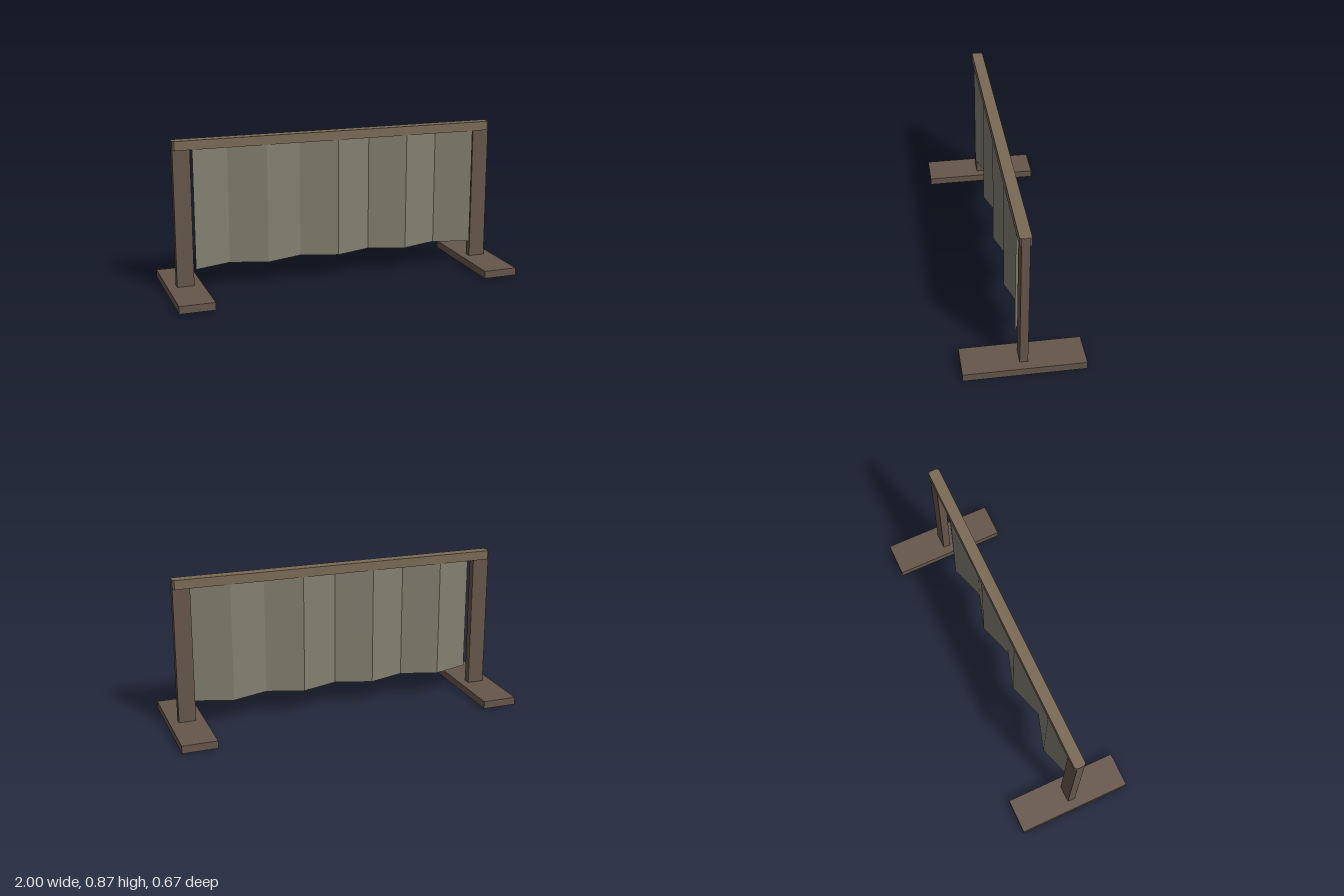
import * as THREE from 'three';

const wood = new THREE.MeshStandardMaterial({ color: 0x66564a, flatShading: true });
const railWood = new THREE.MeshStandardMaterial({ color: 0x7a6a56, flatShading: true });
const cloth = new THREE.MeshStandardMaterial({ color: 0x828070, flatShading: true, side: THREE.DoubleSide });

function box(name, w, h, d, x, yBottom) {
  const mesh = new THREE.Mesh(new THREE.BoxGeometry(w, h, d), wood);
  mesh.name = name;
  mesh.position.set(x, yBottom + h / 2, 0);
  return mesh;
}

export function createModel() {
  const model = new THREE.Group();
  model.name = 'foldedScreenPartition';

  // Feet and upright posts, mirrored left and right
  for (const [side, s] of [['left', 1], ['right', -1]]) {
    model.add(box(side + 'Foot', 0.2, 0.044, 0.666, s * 0.9, 0));
    model.add(box(side + 'Post', 0.097, 0.826, 0.045, s * 0.8985, 0.044));
  }

  // Top rail with chamfered vertical corners, extruded upward
  const L = 0.946, D = 0.032, c = 0.01;
  const outline = new THREE.Shape([
    [L - c, -D], [L, -D + c], [L, D - c], [L - c, D],
    [-L + c, D], [-L, D - c], [-L, -D + c], [-L + c, -D],
  ].map(([x, y]) => new THREE.Vector2(x, y)));
  const railGeometry = new THREE.ExtrudeGeometry(outline, { depth: 0.052, bevelEnabled: false });
  railGeometry.rotateX(-Math.PI / 2);
  const rail = new THREE.Mesh(railGeometry, railWood);
  rail.name = 'topRail';
  rail.position.y = 0.819;
  model.add(rail);

  // Hanging cloth folded in a zigzag of eight panels
  const folds = 8;
  const clothGeometry = new THREE.PlaneGeometry(1.68, 0.679, folds, 1);
  const p = clothGeometry.attributes.position;
  for (let i = 0; i < p.count; i++) {
    p.setZ(i, (i % (folds + 1)) % 2 === 0 ? 0.033 : -0.034);
  }
  clothGeometry.computeVertexNormals();
  const curtain = new THREE.Mesh(clothGeometry, cloth);
  curtain.name = 'foldedCurtain';
  curtain.position.y = 0.14 + 0.679 / 2;
  model.add(curtain);

  return model;
}
